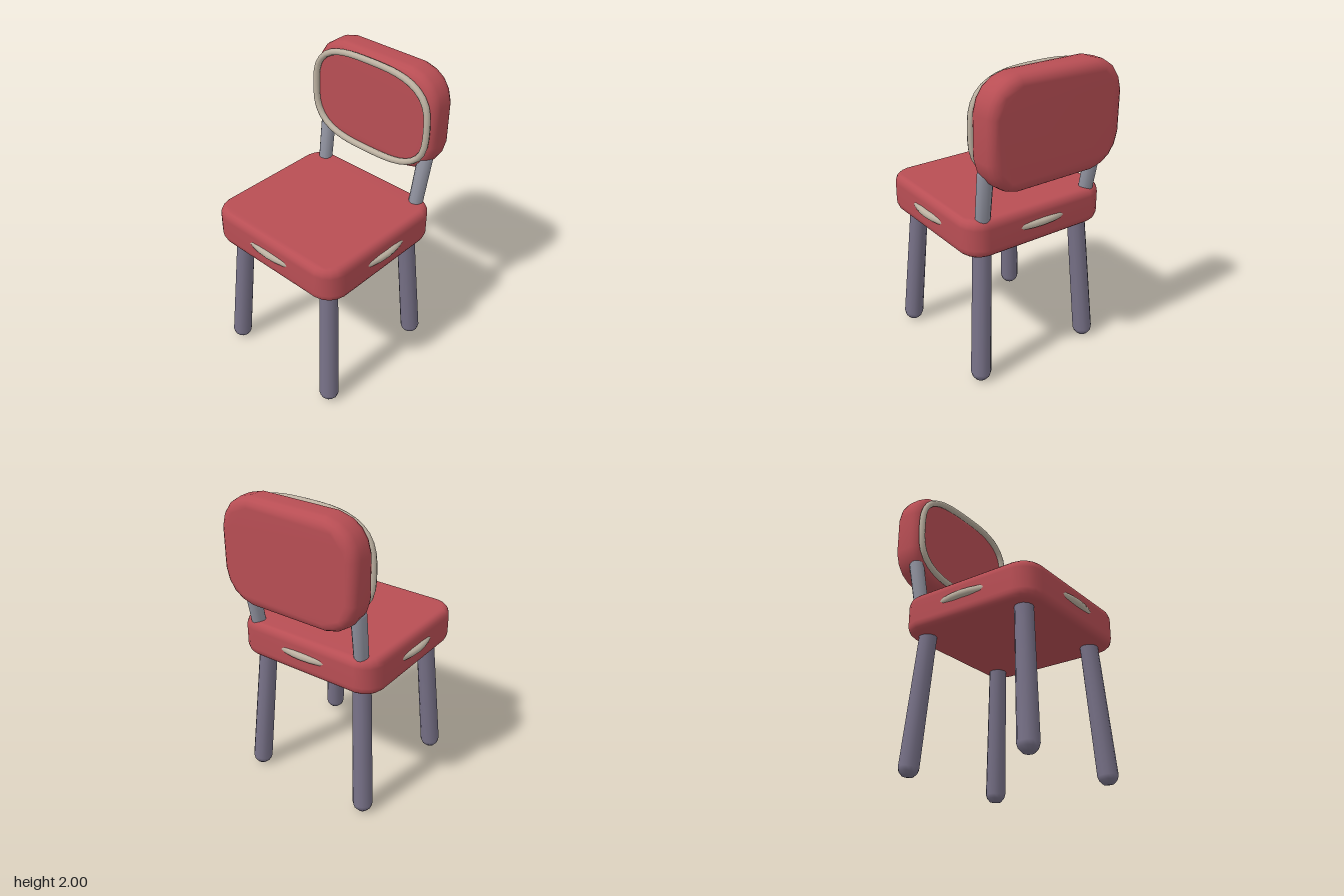
import * as THREE from 'three';
import { mergeVertices } from 'three/addons/utils/BufferGeometryUtils.js';

const mat = (name, color) => {
  const m = new THREE.MeshStandardMaterial({ color });
  m.name = name;
  return m;
};

// Soft cushion: rounded rectangle with a rolled edge, smooth shaded
function cushionGeometry(w, h, depth, radius, bevelSize, bevelThickness) {
  const x = w / 2, y = h / 2, r = radius;
  const shape = new THREE.Shape();
  shape.moveTo(-x + r, -y);
  shape.lineTo(x - r, -y);
  shape.quadraticCurveTo(x - r * 0.12, -y + r * 0.12, x, -y + r);
  shape.lineTo(x, y - r);
  shape.quadraticCurveTo(x - r * 0.12, y - r * 0.12, x - r, y);
  shape.lineTo(-x + r, y);
  shape.quadraticCurveTo(-x + r * 0.12, y - r * 0.12, -x, y - r);
  shape.lineTo(-x, -y + r);
  shape.quadraticCurveTo(-x + r * 0.12, -y + r * 0.12, -x + r, -y);
  let geo = new THREE.ExtrudeGeometry(shape, {
    depth: depth - 2 * bevelThickness, bevelEnabled: true, bevelSize, bevelThickness,
    bevelOffset: -bevelSize, bevelSegments: 4, curveSegments: 4,
  });
  geo.translate(0, 0, -depth / 2 + bevelThickness);
  geo.deleteAttribute('uv');
  geo.deleteAttribute('normal');
  geo = mergeVertices(geo, 1e-4);
  geo.computeVertexNormals();
  return geo;
}

// Closed piping along a superellipse in the XY plane
function pipingGeometry(a, b, power, tube) {
  const pts = [];
  const bend = (v) => Math.sign(v) * Math.abs(v) ** (2 / power);
  for (let i = 0; i < 24; i++) {
    const t = (i / 24) * Math.PI * 2;
    pts.push(new THREE.Vector3(a * bend(Math.cos(t)), b * bend(Math.sin(t)), 0));
  }
  return new THREE.TubeGeometry(new THREE.CatmullRomCurve3(pts, true), 48, tube, 8, true);
}

// Round bar from a lower to an upper point; the profile gives [radius, fraction of length]
function bar(from, to, profile, material, name) {
  const a = new THREE.Vector3(...from), b = new THREE.Vector3(...to);
  const dir = b.clone().sub(a), len = dir.length();
  const geo = new THREE.LatheGeometry(profile.map(([r, t]) => new THREE.Vector2(r, t * len)), 12);
  const mesh = new THREE.Mesh(geo, material);
  mesh.position.copy(a);
  mesh.quaternion.setFromUnitVectors(new THREE.Vector3(0, 1, 0), dir.normalize());
  mesh.name = name;
  return mesh;
}

export function createModel() {
  const group = new THREE.Group();
  group.name = 'chair';
  const red = mat('red upholstery', 0xb84e54);
  const cream = mat('cream piping', 0xbdb2a2);
  const legGrey = mat('dark grey leg', 0x777187);
  const postGrey = mat('light grey post', 0x9395a2);

  const add = (geo, material, name, x, y, z) => {
    const mesh = new THREE.Mesh(geo, material);
    mesh.name = name;
    mesh.position.set(x, y, z);
    group.add(mesh);
    return mesh;
  };

  // Cushions
  const seat = cushionGeometry(1.02, 0.985, 0.24, 0.13, 0.04, 0.055);
  seat.rotateX(-Math.PI / 2);
  add(seat, red, 'seat', 0, 1.01, 0.053);
  add(cushionGeometry(0.95, 0.68, 0.205, 0.21, 0.06, 0.065), red, 'backrest', 0, 1.66, -0.47);

  // Piping
  add(pipingGeometry(0.447, 0.305, 3, 0.021), cream, 'backrestPiping', 0, 1.663, -0.349);
  const seatPiping = pipingGeometry(0.514, 0.492, 2, 0.025);
  seatPiping.rotateX(-Math.PI / 2);
  add(seatPiping, cream, 'seatPiping', 0, 1.02, 0.053);

  // Legs with rounded feet, and posts carrying the backrest
  const legProfile = [[0, 0], [0.035, 0.006], [0.056, 0.03], [0.064, 0.058], [0.057, 1]];
  const postProfile = [[0, 0], [0.045, 0.001], [0.048, 0.94], [0.035, 0.985], [0, 1]];
  for (const s of [-1, 1]) {
    const side = s > 0 ? 'left' : 'right';
    group.add(bar([s * 0.424, 0.003, 0.463], [s * 0.362, 0.95, 0.4], legProfile, legGrey, side + 'FrontLeg'));
    group.add(bar([s * 0.424, 0.003, -0.385], [s * 0.362, 0.95, -0.322], legProfile, legGrey, side + 'BackLeg'));
    group.add(bar([s * 0.388, 1.03, -0.36], [s * 0.404, 1.45, -0.426], postProfile, postGrey, side + 'BackPost'));
  }
  return group;
}
